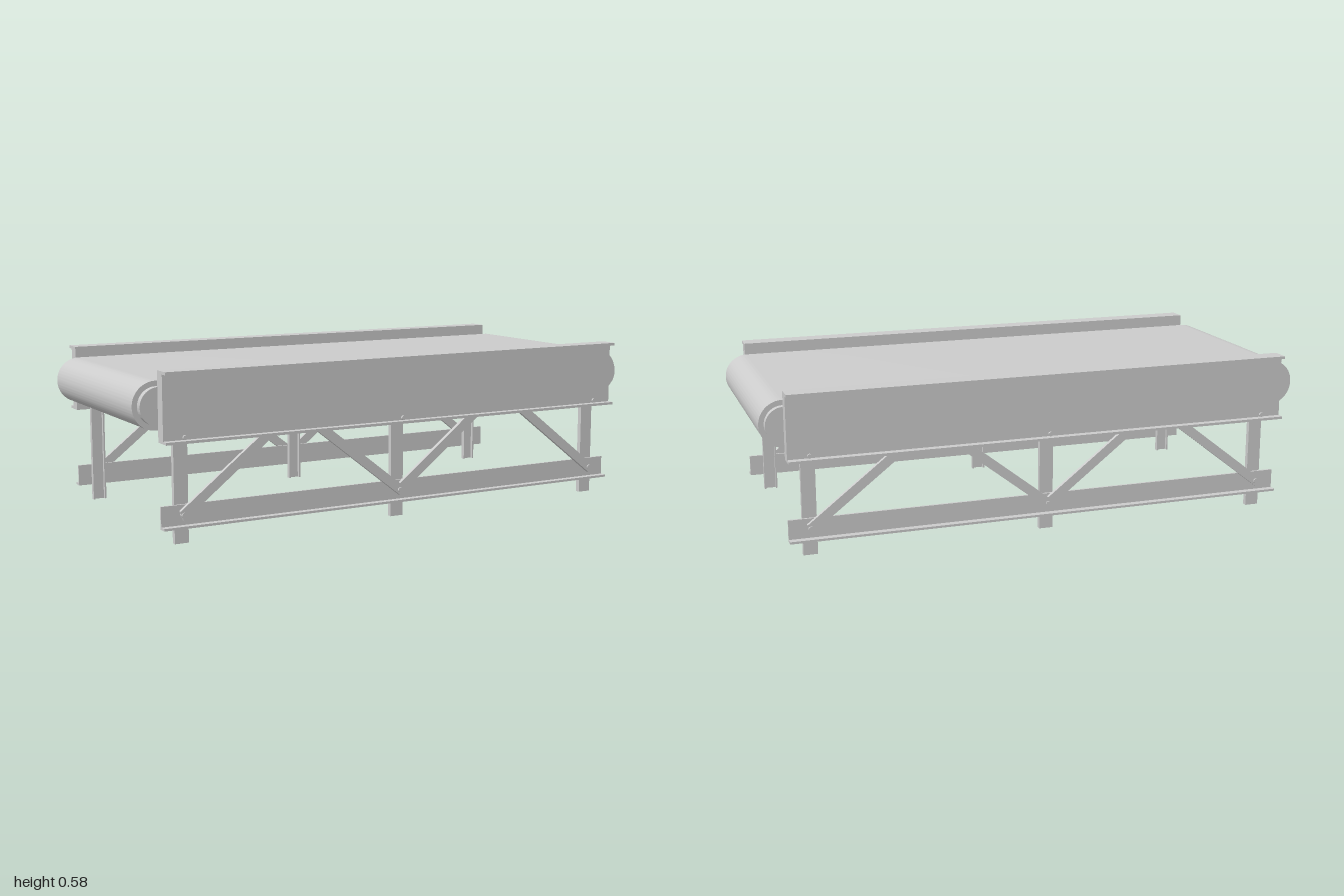
import * as THREE from 'three';
import { toCreasedNormals } from 'three/addons/utils/BufferGeometryUtils.js';

const material = new THREE.MeshStandardMaterial({ color: 0xcccccc });

function add(parent, name, geometry) {
  const mesh = new THREE.Mesh(geometry, material);
  mesh.name = name;
  parent.add(mesh);
  return mesh;
}

// Box given by its lower and upper limits on each axis
function box(parent, name, [x0, x1], [y0, y1], [z0, z1]) {
  const mesh = add(parent, name, new THREE.BoxGeometry(x1 - x0, y1 - y0, z1 - z0));
  mesh.position.set((x0 + x1) / 2, (y0 + y1) / 2, (z0 + z1) / 2);
  return mesh;
}

// Extrude a shape from z0 to z1
function extrude(parent, name, shape, z0, z1) {
  const geometry = new THREE.ExtrudeGeometry(shape, { depth: z1 - z0, bevelEnabled: false, curveSegments: 24 });
  geometry.translate(0, 0, z0);
  return add(parent, name, toCreasedNormals(geometry, 0.6));
}

// Long loop with round ends, reaching to +-endX
function stadium(endX, radius, y) {
  const c = endX - radius;
  const shape = new THREE.Shape();
  shape.moveTo(-c, y - radius);
  shape.lineTo(c, y - radius);
  shape.absarc(c, y, radius, -Math.PI / 2, Math.PI / 2, false);
  shape.lineTo(-c, y + radius);
  shape.absarc(-c, y, radius, Math.PI / 2, Math.PI * 1.5, false);
  return shape;
}

function bolt(parent, name, x, y, z0, z1, radius, sides) {
  const geometry = new THREE.CylinderGeometry(radius, radius, z1 - z0, sides);
  geometry.rotateX(Math.PI / 2);
  const mesh = add(parent, name, toCreasedNormals(geometry, 0.6));
  mesh.position.set(x, y, (z0 + z1) / 2);
}

// Diagonal strut rising from its pointed foot towards dir
function brace(parent, footX, dir) {
  const points = [[0, 0.08], [0.345, 0.348], [0.29, 0.348], [-0.012, 0.113]];
  const shape = new THREE.Shape(points.map(([x, y]) => new THREE.Vector2(footX + dir * x, y)));
  extrude(parent, 'brace', shape, 0.414, 0.428);
}

function sideFrame(name) {
  const side = new THREE.Group();
  side.name = name;
  const span = [-0.92, 0.92];

  // Upper beam with outward flanges
  box(side, 'sideBeam', span, [0.345, 0.582], [0.403, 0.444]);
  box(side, 'topFlange', span, [0.572, 0.582], [0.444, 0.47]);
  box(side, 'bottomFlange', span, [0.345, 0.354], [0.444, 0.47]);

  // Lower angle rail
  box(side, 'lowerRail', span, [0.056, 0.133], [0.405, 0.413]);
  box(side, 'lowerRailFlange', span, [0.056, 0.064], [0.413, 0.438]);

  // Channel legs, open towards the inside, with their bolts
  for (const x of [-0.845, -0.012, 0.845]) {
    const leg = new THREE.Group();
    leg.name = 'leg';
    side.add(leg);
    const height = [0, 0.394];
    box(leg, 'legWeb', [x - 0.025, x + 0.025], height, [0.399, 0.405]);
    for (const s of [-1, 1]) {
      const edge = [x + s * 0.025, x + s * 0.019].sort((a, b) => a - b);
      box(leg, 'legFlange', edge, height, [0.387, 0.399]);
    }
    bolt(leg, 'legBoltHead', x, 0.361, 0.379, 0.403, 0.013, 6);
    bolt(leg, 'legBoltNut', x, 0.362, 0.444, 0.451, 0.008, 12);
    bolt(leg, 'braceBolt', x, 0.1, 0.405, 0.433, 0.009, 12);
  }

  // Braces in a zigzag
  brace(side, -0.845, 1);
  brace(side, -0.012, -1);
  brace(side, -0.012, 1);
  brace(side, 0.845, -1);
  return side;
}

export function createModel() {
  const model = new THREE.Group();
  model.name = 'conveyor';

  // Belt around a slightly wider, smaller core
  extrude(model, 'belt', stadium(1, 0.082, 0.463), -0.38, 0.38);
  extrude(model, 'rollerBed', stadium(0.982, 0.064, 0.463), -0.404, 0.404);

  const front = sideFrame('frontFrame');
  const back = sideFrame('backFrame');
  back.scale.z = -1;
  model.add(front, back);
  return model;
}
